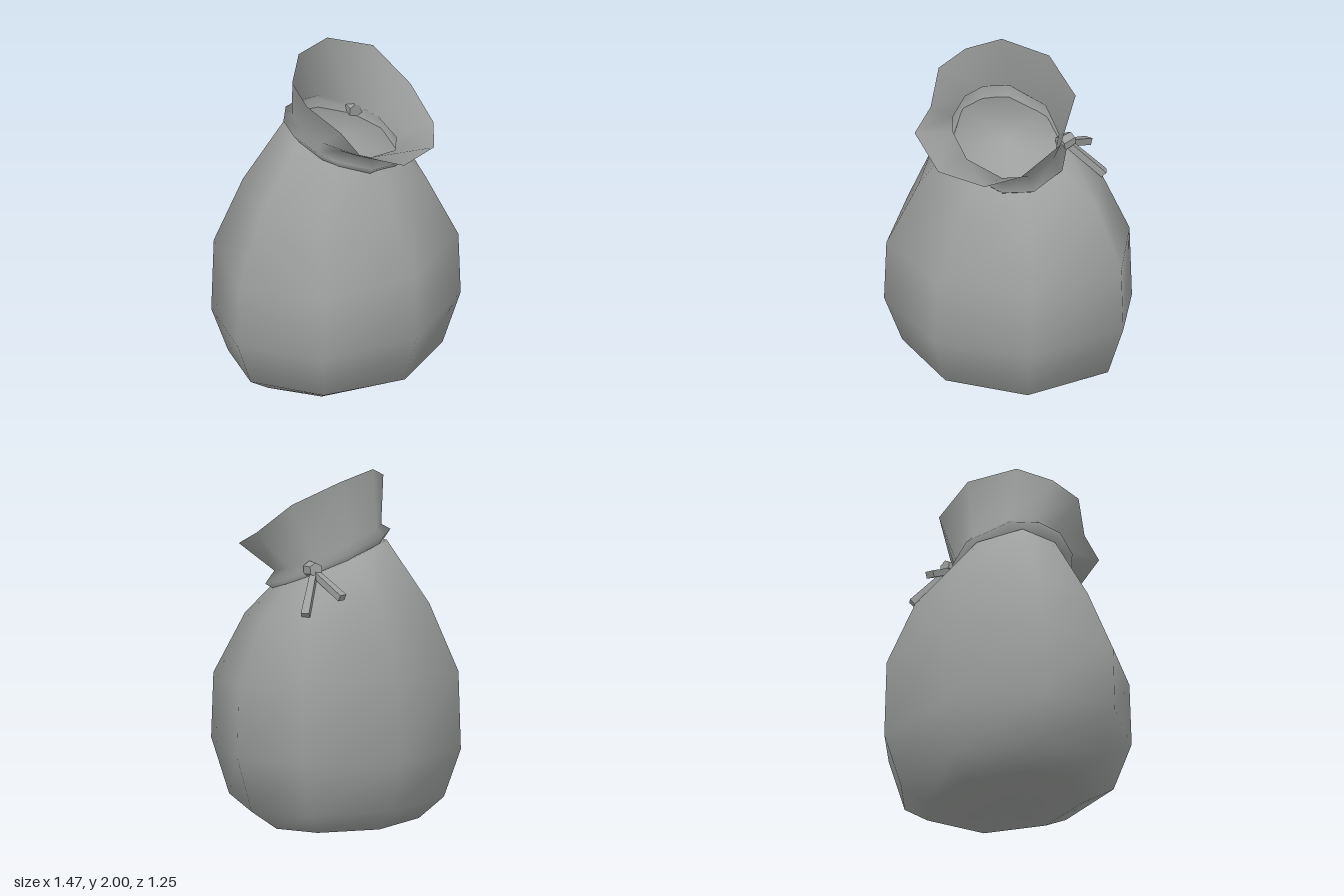
import * as THREE from 'three';
import { mergeVertices } from 'three/addons/utils/BufferGeometryUtils.js';

// Skin between rings of equal point count; a ring of one point repeated acts as a pole
function loft(rings) {
  const n = rings[0].length, index = [];
  for (let j = 0; j < rings.length - 1; j++) {
    for (let k = 0; k < n; k++) {
      const a = j * n + k, b = j * n + (k + 1) % n, c = a + n, d = b + n;
      index.push(a, c, b, b, c, d);
    }
  }
  const g = new THREE.BufferGeometry();
  g.setAttribute('position', new THREE.Float32BufferAttribute(rings.flat(2), 3));
  g.setIndex(index);
  const merged = mergeVertices(g, 1e-4);
  merged.computeVertexNormals();
  return merged;
}

const pole = (x, y, z) => OUTLINE.map(() => [x, y, z]);

// Eight-sided outline of the belly, clockwise seen from above, as [x, z]
const OUTLINE = [[0, -0.625], [0.53, -0.445], [0.735, -0.12], [0.515, 0.42],
  [0, 0.62], [-0.52, 0.42], [-0.735, -0.035], [-0.55, -0.445]];

// Slanted opening of the sack, as [x, y, z]
const LIP = [[0.12, 1.97, -0.23], [0.38, 1.86, -0.14], [0.455, 1.68, 0.08], [0.385, 1.57, 0.34],
  [0.25, 1.525, 0.49], [-0.03, 1.54, 0.55], [-0.27, 1.65, 0.46], [-0.28, 1.74, 0.31],
  [-0.37, 1.87, 0.13], [-0.32, 1.93, -0.04], [-0.16, 2.0, -0.16]];

// Scaled outline on a tilted plane, with its front and back lifted by bend
const bodyRing = ([sx, sz, dx, dz, y, tx, tz, bend]) => OUTLINE.map(([px, pz]) => {
  const x = px * sx + dx, z = pz * sz + dz;
  return [x, y + tx * x + tz * z + bend * z * z, z];
});

// Tilted ellipse whose points line up with the lip
const neckRing = (rx, rz, y) => LIP.map(([lx, , lz]) => {
  const t = Math.atan2(lz - 0.16, lx - 0.04);
  const x = 0.015 + rx * Math.cos(t), z = 0.02 + rz * Math.sin(t);
  return [x, y - 0.3 * x - 0.3 * z, z];
});

export function createModel() {
  const group = new THREE.Group();
  const color = 0x9c9f9d;
  const cloth = new THREE.MeshStandardMaterial({ color, side: THREE.DoubleSide });
  const cord = new THREE.MeshStandardMaterial({ color, flatShading: true });
  const add = (name, geometry, material) => {
    const mesh = new THREE.Mesh(geometry, material);
    mesh.name = name;
    group.add(mesh);
    return mesh;
  };

  // Bulging body: scale x, scale z, shift x, shift z, height, tilt along x, tilt along z, bend
  // Closed at the top, where it forms the floor of the collar
  const bodyRings = [
    [0.64, 0.62, 0, -0.05, 0.06, 0, 0.03, 0],
    [0.86, 0.86, 0, -0.01, 0.17, 0, 0.01, 0],
    [1, 1, 0, 0, 0.46, 0.035, 0.02, 0],
    [0.985, 0.975, 0, 0, 0.83, 0.04, -0.065, 0.16],
    [0.76, 0.7, 0, -0.02, 1.19, 0.03, -0.11, 0.3],
    [0.45, 0.465, 0.02, 0.01, 1.48, -0.28, -0.3, 0],
  ].map(bodyRing);
  add('body', loft([pole(0, 0, 0), ...bodyRings, pole(0.02, 1.5, 0.02)]), cloth);

  // Gathered neck and flared open collar, its lower edge tucked into the body
  const gather = neckRing(0.3, 0.265, 1.455);
  const bulge = neckRing(0.36, 0.315, 1.515);
  const pinch = neckRing(0.305, 0.275, 1.565);
  add('collar', loft([gather, bulge, pinch, LIP]), cloth);

  // Knot of the tie
  const knot = add('knot', new THREE.CylinderGeometry(0.04, 0.046, 0.08, 6), cord);
  knot.position.set(0.27, 1.495, -0.19);
  knot.rotation.set(-1.45, 0, -0.2);

  // Two loose cord ends, widening outward
  const start = new THREE.Vector3(0.27, 1.48, -0.2);
  [[0.24, 1.37, -0.42], [0.425, 1.28, -0.33]].forEach((p, i) => {
    const end = new THREE.Vector3(...p);
    const geometry = new THREE.BoxGeometry(0.046, 0.038, start.distanceTo(end));
    const pos = geometry.attributes.position;
    for (let v = 0; v < pos.count; v++) if (pos.getZ(v) < 0) pos.setX(v, pos.getX(v) * 0.75);
    const strand = add(i ? 'cordEndLeft' : 'cordEndBack', geometry, cord);
    strand.position.copy(start).add(end).multiplyScalar(0.5);
    strand.lookAt(end);
  });

  return group;
}
